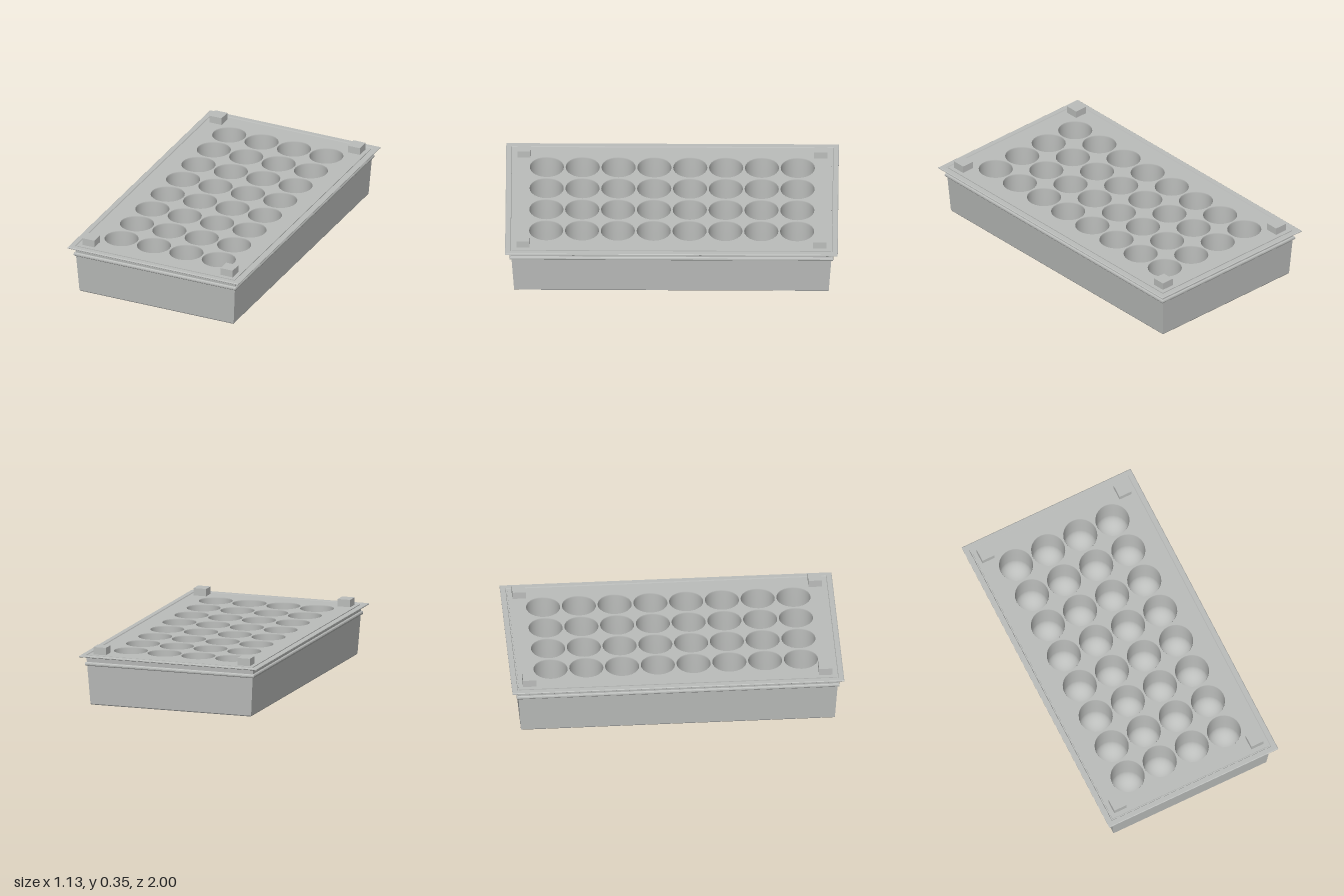
import * as THREE from 'three';

const HW = 0.51, HD = 0.943; // half width and half depth of the tray foot

// Rectangular frame: sweeps a closed profile [outset, y] (counterclockwise) round the tray
function frameGeometry(profile) {
  const corners = [[1, 1], [1, -1], [-1, -1], [-1, 1]];
  const at = ([o, y], [sx, sz]) => [sx * (HW + o), y, sz * (HD + o)];
  const pos = [];
  profile.forEach((p, i) => {
    const q = profile[(i + 1) % profile.length];
    corners.forEach((c, k) => {
      const d = corners[(k + 1) % 4];
      const A = at(p, c), B = at(p, d), C = at(q, d), D = at(q, c);
      pos.push(...A, ...B, ...C, ...A, ...C, ...D);
    });
  });
  const g = new THREE.BufferGeometry();
  g.setAttribute('position', new THREE.Float32BufferAttribute(pos, 3));
  g.computeVertexNormals();
  return g;
}

export function createModel() {
  const model = new THREE.Group();
  model.name = 'seedTray';
  const plastic = new THREE.MeshStandardMaterial({ color: 0xbcbebc, side: THREE.DoubleSide });
  plastic.name = 'greyPlastic';
  const add = (name, geometry, parent = model) => {
    const mesh = new THREE.Mesh(geometry, plastic);
    mesh.name = name;
    parent.add(mesh);
    return mesh;
  };

  // Tapered side walls, open underneath
  add('sideWalls', frameGeometry([
    [-0.006, 0], [-0.001, 0], [0.003, 0.006], [0.022, 0.298], [0.012, 0.298],
  ]));

  // Rounded bead below the rim
  add('bead', frameGeometry([
    [0.012, 0.243], [0.026, 0.243], [0.029, 0.247], [0.03, 0.254],
    [0.028, 0.261], [0.024, 0.265], [0.012, 0.265],
  ]));

  // Flat rim with softened edges
  add('rim', frameGeometry([
    [0.012, 0.297], [0.053, 0.297], [0.057, 0.3], [0.057, 0.305], [0.053, 0.308],
    [0.025, 0.308], [0.022, 0.302], [0.012, 0.302],
  ]));

  // Planting holes: four columns by eight rows
  const r = 0.103, step = 0.2155;
  const centres = [];
  for (let i = 0; i < 4; i++)
    for (let j = 0; j < 8; j++) centres.push([(i - 1.5) * step, (j - 3.5) * step]);

  // Perforated top plate
  const w = HW + 0.015, d = HD + 0.015;
  const shape = new THREE.Shape([
    new THREE.Vector2(-w, -d), new THREE.Vector2(w, -d),
    new THREE.Vector2(w, d), new THREE.Vector2(-w, d),
  ]);
  for (const [x, z] of centres) {
    const hole = new THREE.Path();
    hole.absarc(x, z, r, 0, Math.PI * 2, true);
    shape.holes.push(hole);
  }
  const plate = new THREE.ExtrudeGeometry(shape, { depth: 0.01, bevelEnabled: false, curveSegments: 12 });
  plate.rotateX(-Math.PI / 2).translate(0, 0.297, 0);
  add('topPlate', plate);

  // Deep cups with round bottoms
  const rc = 0.101, yc = 0.112;
  const profile = [];
  for (let k = 0; k <= 10; k++) {
    const a = (k / 10) * Math.PI / 2;
    profile.push(new THREE.Vector2(rc * Math.sin(a), yc - rc * Math.cos(a)));
  }
  profile.push(new THREE.Vector2(rc, 0.2), new THREE.Vector2(rc, 0.3), new THREE.Vector2(r, 0.307));
  const cup = new THREE.LatheGeometry(profile, 24);
  const cups = new THREE.Group();
  cups.name = 'cups';
  model.add(cups);
  for (const [x, z] of centres) add('cup', cup, cups).position.set(x, 0, z);

  // Stacking blocks at the corners
  const block = new THREE.BoxGeometry(0.08, 0.047, 0.08);
  for (const sx of [-1, 1])
    for (const sz of [-1, 1])
      add('stackingBlock', block).position.set(sx * 0.46, 0.3285, sz * 0.892);

  return model;
}
